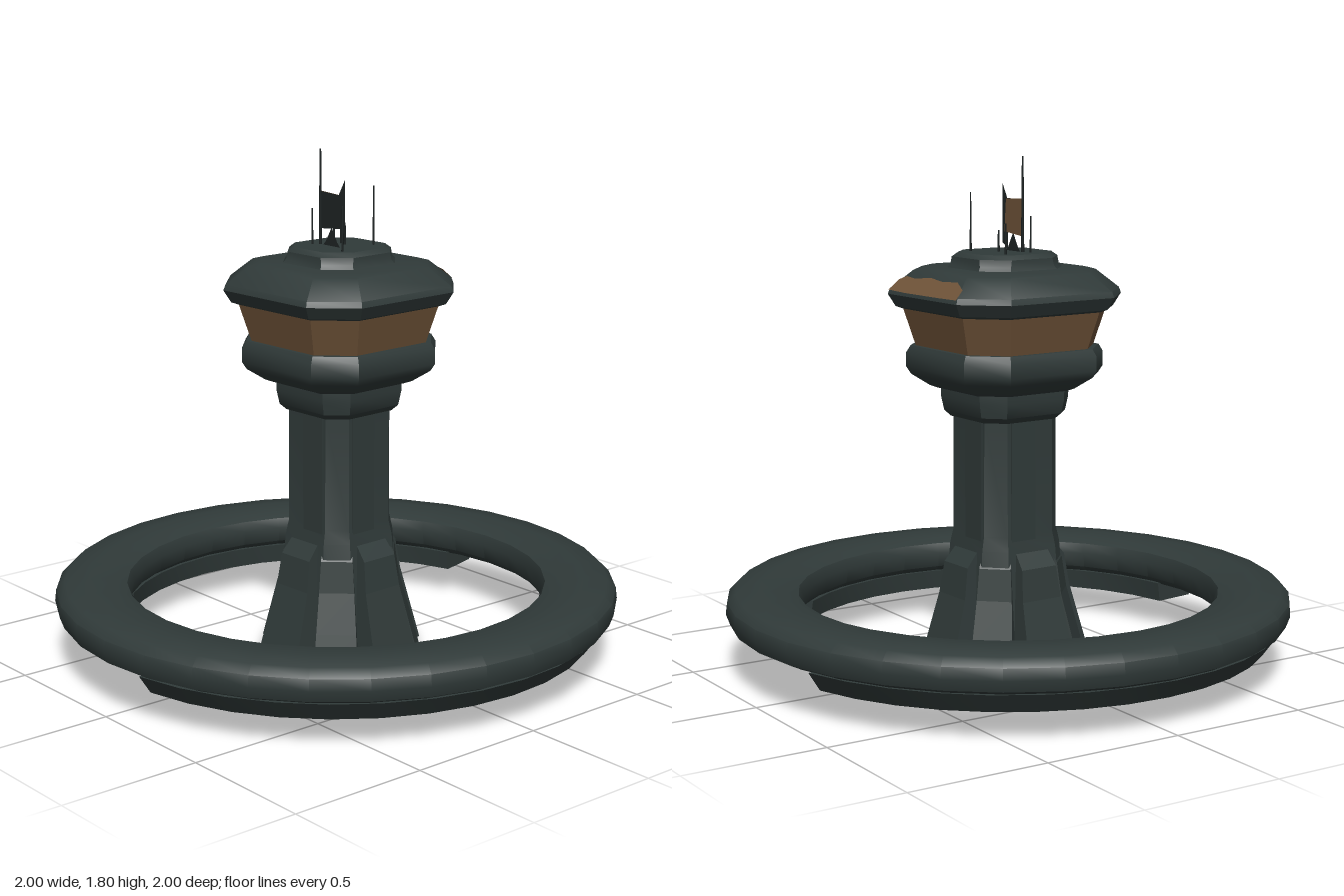
import * as THREE from 'three';
import { toCreasedNormals } from 'three/addons/utils/BufferGeometryUtils.js';

const material = (name, color) => {
  const m = new THREE.MeshStandardMaterial({ color, side: THREE.DoubleSide });
  m.name = name;
  return m;
};

// Stack of chamfered squares; each row is [half width, half flat side, y]
function loft(rows, crease = 0.6) {
  const rings = rows.map(([h, f, y]) =>
    [[h, f], [f, h], [-f, h], [-h, f], [-h, -f], [-f, -h], [f, -h], [h, -f]].map(([x, z]) => [x, y, z]));
  const out = [];
  const tri = (...pts) => pts.forEach((p) => out.push(...p));
  const last = rings.length - 1;
  for (let i = 0; i < 8; i++) {
    const j = (i + 1) % 8;
    for (let r = 0; r < last; r++) {
      const a = rings[r][i], b = rings[r][j], c = rings[r + 1][j], d = rings[r + 1][i];
      tri(a, d, c);
      tri(a, c, b);
    }
    tri([0, rows[0][2], 0], rings[0][i], rings[0][j]);
    tri([0, rows[last][2], 0], rings[last][j], rings[last][i]);
  }
  const g = new THREE.BufferGeometry();
  g.setAttribute('position', new THREE.Float32BufferAttribute(out, 3));
  return toCreasedNormals(g, crease);
}

const vectors = (pts) => pts.map(([x, y]) => new THREE.Vector2(x, y));

export function createModel() {
  const model = new THREE.Group();
  const hull = material('dark slate hull', 0x303a39);
  const amber = material('brown glass', 0x705439);
  const dark = material('blackened metal', 0x1e2424);

  const add = (name, geometry, mat, parent = model) => {
    const mesh = new THREE.Mesh(geometry, mat);
    mesh.name = name;
    parent.add(mesh);
    return mesh;
  };

  // Landing ring around the tower
  const ringProfile = vectors([[0.77, 0.165], [0.94, 0.163], [0.985, 0.185], [1, 0.225], [0.995, 0.265],
    [0.965, 0.293], [0.88, 0.303], [0.79, 0.298], [0.745, 0.28], [0.73, 0.245], [0.74, 0.19], [0.77, 0.165]]);
  add('ring', toCreasedNormals(new THREE.LatheGeometry(ringProfile, 32), 0.7), hull);

  // Two thick plates under the ring, with gaps between them
  const skirtProfile = vectors([[0.76, 0.1], [0.915, 0.1], [0.965, 0.17], [0.75, 0.17], [0.76, 0.1]]);
  for (const [from, to] of [[50, 172], [230, 345]]) {
    const rad = THREE.MathUtils.degToRad;
    add('ringSkirt', toCreasedNormals(
      new THREE.LatheGeometry(skirtProfile, 12, rad(90 - to), rad(to - from)), 0.5), hull);
    for (const angle of [from, to]) {
      add('ringSkirtEnd', new THREE.ShapeGeometry(new THREE.Shape(skirtProfile)), hull).rotation.y = -rad(angle);
    }
  }

  // Tower group, slightly turned and off centre
  const tower = new THREE.Group();
  tower.name = 'tower';
  tower.position.x = 0.015;
  tower.rotation.y = 0.04;
  model.add(tower);

  add('shaft', loft([[0.2, 0.12, 0], [0.165, 0.1, 0.45], [0.154, 0.095, 0.5], [0.152, 0.095, 0.92]]), hull, tower);
  add('shaftCollar', loft([[0.16, 0.1, 0.9], [0.178, 0.115, 0.92], [0.188, 0.12, 0.97], [0.188, 0.12, 1.01]]), hull, tower);

  // Flared buttresses at the foot, wide and narrow in turn
  for (let i = 0; i < 8; i++) {
    const wide = i % 2 === 0;
    const s = wide ? 1 : 0.94;
    const width = wide ? 0.17 : 0.13;
    const profile = vectors([[0.06, 0], [0.305 * s, 0], [0.265 * s, 0.14], [0.225 * s, 0.28],
      [0.208 * s, 0.39], [0.153, 0.455], [0.06, 0.455]]);
    const g = new THREE.ExtrudeGeometry(new THREE.Shape(profile), { depth: width, bevelEnabled: false });
    g.translate(0, 0, -width / 2);
    const p = g.attributes.position;
    for (let k = 0; k < p.count; k++) p.setZ(k, p.getZ(k) * (1.2 - p.getY(k) * 0.9));
    g.computeVertexNormals();
    add('buttress', g, hull, tower).rotation.y = i * Math.PI / 4;
  }
  add('foot', new THREE.BoxGeometry(0.14, 0.045, 0.12), hull, tower).position.set(0.03, 0.0225, -0.255);

  // Vertical ribs on the four shaft faces
  for (let i = 0; i < 4; i++) {
    const rib = new THREE.BoxGeometry(0.012, 0.5, 0.1);
    rib.translate(0.152, 0.66, i % 2 ? 0.03 : -0.035);
    add('shaftRib', rib, hull, tower).rotation.y = i * Math.PI / 2;
  }

  // Cabin: lower cup, outward leaning windows and roof
  add('cabinCup', loft([[0.2, 0.12, 1.0], [0.225, 0.135, 1.01], [0.28, 0.17, 1.05], [0.293, 0.18, 1.075],
    [0.293, 0.18, 1.125], [0.28, 0.172, 1.15]]), hull, tower);
  add('windows', loft([[0.262, 0.16, 1.14], [0.305, 0.188, 1.295]], 0.1), amber, tower);
  add('roof', loft([[0.3, 0.185, 1.278], [0.322, 0.2, 1.287], [0.345, 0.214, 1.33], [0.338, 0.21, 1.35],
    [0.27, 0.165, 1.413], [0.24, 0.14, 1.422]]), hull, tower);
  add('roofCap', loft([[0.18, 0.1, 1.415], [0.166, 0.09, 1.435], [0.164, 0.085, 1.46], [0.145, 0.075, 1.475]]), hull, tower);

  // Ragged brown patch on the +x roof slope
  const patch = new THREE.ShapeGeometry(new THREE.Shape(vectors([[-0.21, 0.02], [-0.1, -0.01], [0.1, 0],
    [0.21, 0.02], [0.2, 0.45], [0.14, 0.72], [0.05, 0.66], [-0.03, 0.75], [-0.11, 0.62], [-0.17, 0.68], [-0.2, 0.5]])));
  const pp = patch.attributes.position;
  for (let k = 0; k < pp.count; k++) {
    const u = pp.getX(k), t = pp.getY(k);
    pp.setXYZ(k, 0.346 - 0.078 * t, 1.352 + 0.072 * (t - 0.12), -u);
  }
  patch.computeVertexNormals();
  add('roofPatch', patch, amber, tower);

  // Antennas on the roof cap: [x, z, top, radius]
  for (const [x, z, top, r] of [[-0.02, -0.06, 1.805, 0.006], [-0.065, 0.11, 1.63, 0.004],
    [-0.04, -0.08, 1.6, 0.004], [0.075, -0.1, 1.58, 0.004], [0.11, 0.07, 1.68, 0.004], [0.04, 0.0, 1.55, 0.005]]) {
    const g = new THREE.CylinderGeometry(r * 0.5, r, top - 1.46, 6);
    add('antenna', g, dark).position.set(x, (top + 1.46) / 2, z);
  }

  // Upright panel: brown on its +x face, dark on the back, with a dark slanted fin
  const upright = (name, pts, x, mat) => {
    const mesh = add(name, new THREE.ShapeGeometry(new THREE.Shape(vectors(pts))), mat);
    mesh.rotation.y = Math.PI / 2;
    mesh.position.x = x;
  };
  const panel = [[-0.05, 1.54], [0.06, 1.53], [0.06, 1.66], [-0.04, 1.655]];
  upright('panelFace', panel, -0.016, amber);
  upright('panelBack', panel, -0.02, dark);
  upright('panelFin', [[-0.07, 1.5], [-0.045, 1.49], [-0.04, 1.66], [-0.07, 1.71]], -0.02, dark);
  upright('panelFoot', [[-0.06, 1.46], [0.06, 1.46], [0.03, 1.49], [0, 1.54], [-0.03, 1.49]], -0.02, dark);

  return model;
}
